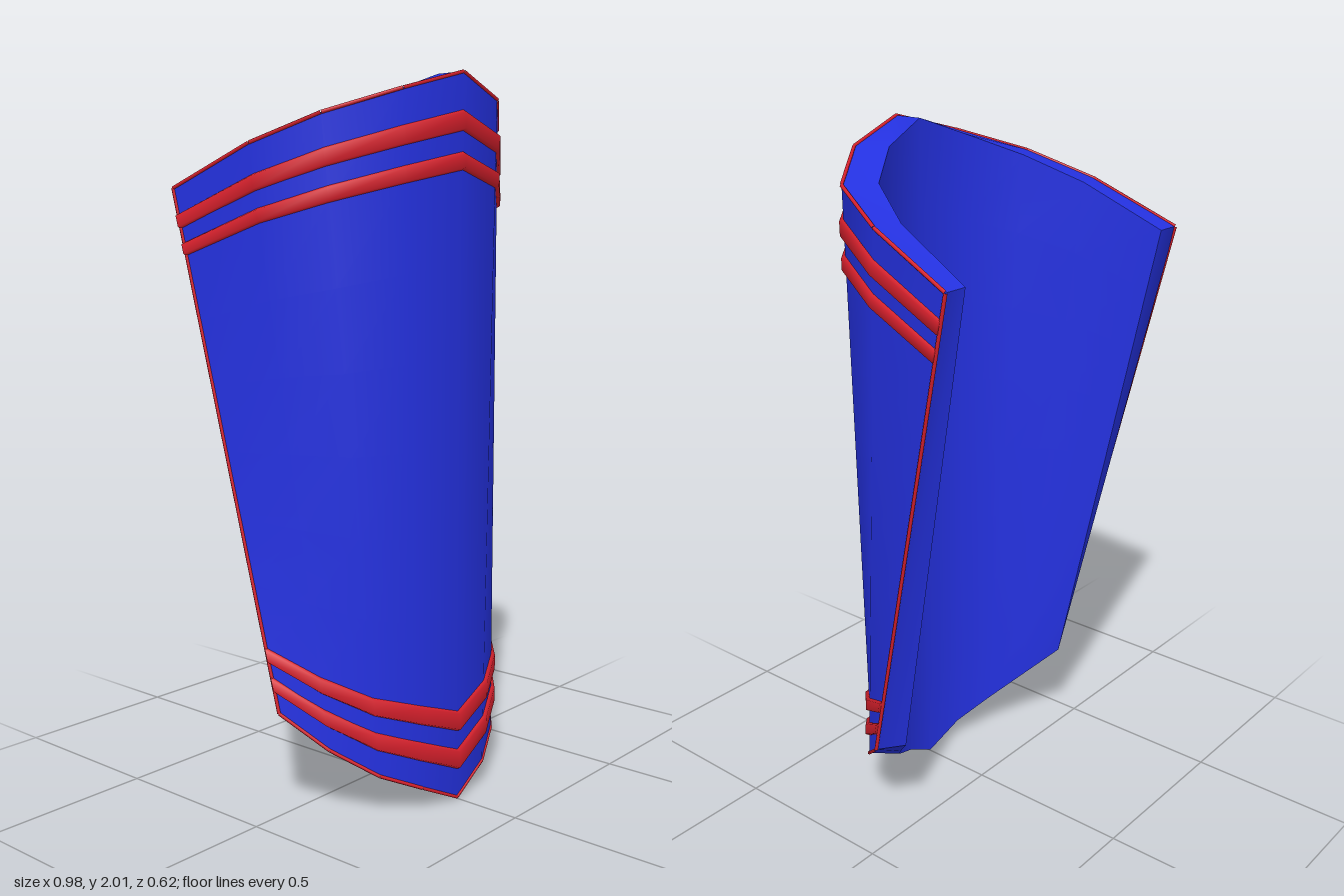
import * as THREE from 'three';
import { mergeGeometries } from 'three/addons/utils/BufferGeometryUtils.js';

// Half profiles from the centre line to the side edge: [x, y, z]
const outerTop = [[0, 2, 0.3], [0.2, 1.945, 0.262], [0.37, 1.88, 0.14], [0.445, 1.81, -0.04], [0.48, 1.7, -0.295]];
const innerTop = [[0, 2, 0.215], [0.15, 1.945, 0.185], [0.29, 1.88, 0.09], [0.37, 1.81, -0.06], [0.41, 1.7, -0.295]];
const outerBottom = [[0, 0, 0.3], [0.135, 0.065, 0.285], [0.25, 0.12, 0.23], [0.35, 0.2, 0.14], [0.43, 0.3, 0.03]];
const innerBottom = [[0, 0, 0.215], [0.11, 0.065, 0.195], [0.21, 0.12, 0.15], [0.285, 0.2, 0.075], [0.36, 0.3, -0.02]];

// Mirror a half profile into a full edge running from -x to +x, with a slight twist
function fullEdge(half) {
  const left = half.slice(1).reverse().map(([x, y, z]) => [-x, y, z]);
  return [...left, ...half].map(([x, y, z]) => new THREE.Vector3(x, y, z + 0.02 * x));
}

const OT = fullEdge(outerTop), IT = fullEdge(innerTop);
const OB = fullEdge(outerBottom), IB = fullEdge(innerBottom);
const columns = OT.map((_, i) => i);

// Points on the shell: v runs from the bottom edge (0) to the top edge (1)
const inner = (i, v) => IB[i].clone().lerp(IT[i], v);
function outer(i, v, raise = 0) {
  const p = OB[i].clone().lerp(OT[i], v);
  const out = p.clone().sub(inner(i, v)).normalize();
  return p.addScaledVector(out, raise);
}

// Surface through rows of points, facing column direction x row direction
function grid(rows) {
  const w = rows[0].length, index = [];
  for (let j = 0; j < rows.length - 1; j++) {
    for (let i = 0; i < w - 1; i++) {
      const a = j * w + i, b = a + 1, c = b + w, d = a + w;
      index.push(a, b, c, a, c, d);
    }
  }
  const g = new THREE.BufferGeometry().setFromPoints(rows.flat());
  g.setIndex(index);
  g.computeVertexNormals();
  return g;
}

export function createModel() {
  const model = new THREE.Group();
  model.name = 'shinGuard';
  const blue = new THREE.MeshStandardMaterial({ color: 0x2431e0 });
  const red = new THREE.MeshStandardMaterial({ color: 0xd8202c });
  const add = (name, geometry, material) => {
    const mesh = new THREE.Mesh(geometry, material);
    mesh.name = name;
    model.add(mesh);
  };

  // Curved plate: outer and inner faces
  const steps = Array.from({ length: 9 }, (_, j) => j / 8);
  add('outerPlate', grid(steps.map(v => columns.map(i => outer(i, v)))), blue);
  add('innerPlate', grid(steps.map(v => columns.map(i => inner(i, v)).reverse())), blue);

  // Rims closing the thickness
  const last = columns.length - 1;
  add('topRim', grid([OT, IT]), blue);
  add('bottomRim', grid([IB, OB]), blue);
  add('leftRim', grid([[OB[last], IB[last]], [OT[last], IT[last]]]), blue);
  add('rightRim', grid([[IB[0], OB[0]], [IT[0], OT[0]]]), blue);

  // Raised bands, with the end columns sunk to the plate to close them
  const ends = [0, ...columns, last];
  const bands = [[0.042, 0.071], [0.098, 0.127], [0.873, 0.897], [0.924, 0.951]];
  bands.forEach(([v0, v1], n) => {
    const section = [[v0, 0], [v0 + 0.003, 0.011], [v1 - 0.003, 0.011], [v1, 0]];
    const rows = section.map(([v, h]) => ends.map((i, k) =>
      outer(i, v, k === 0 || k === ends.length - 1 ? 0 : h)));
    add('band' + (n + 1), grid(rows).toNonIndexed(), red);
  });

  // Thin piping along the outer edge
  const loop = [...OB, ...OT.slice().reverse(), OB[0]];
  const pieces = loop.slice(1).map((p, k) =>
    new THREE.TubeGeometry(new THREE.LineCurve3(loop[k], p), 1, 0.005, 6, false));
  add('edgePiping', mergeGeometries(pieces), red);

  return model;
}
